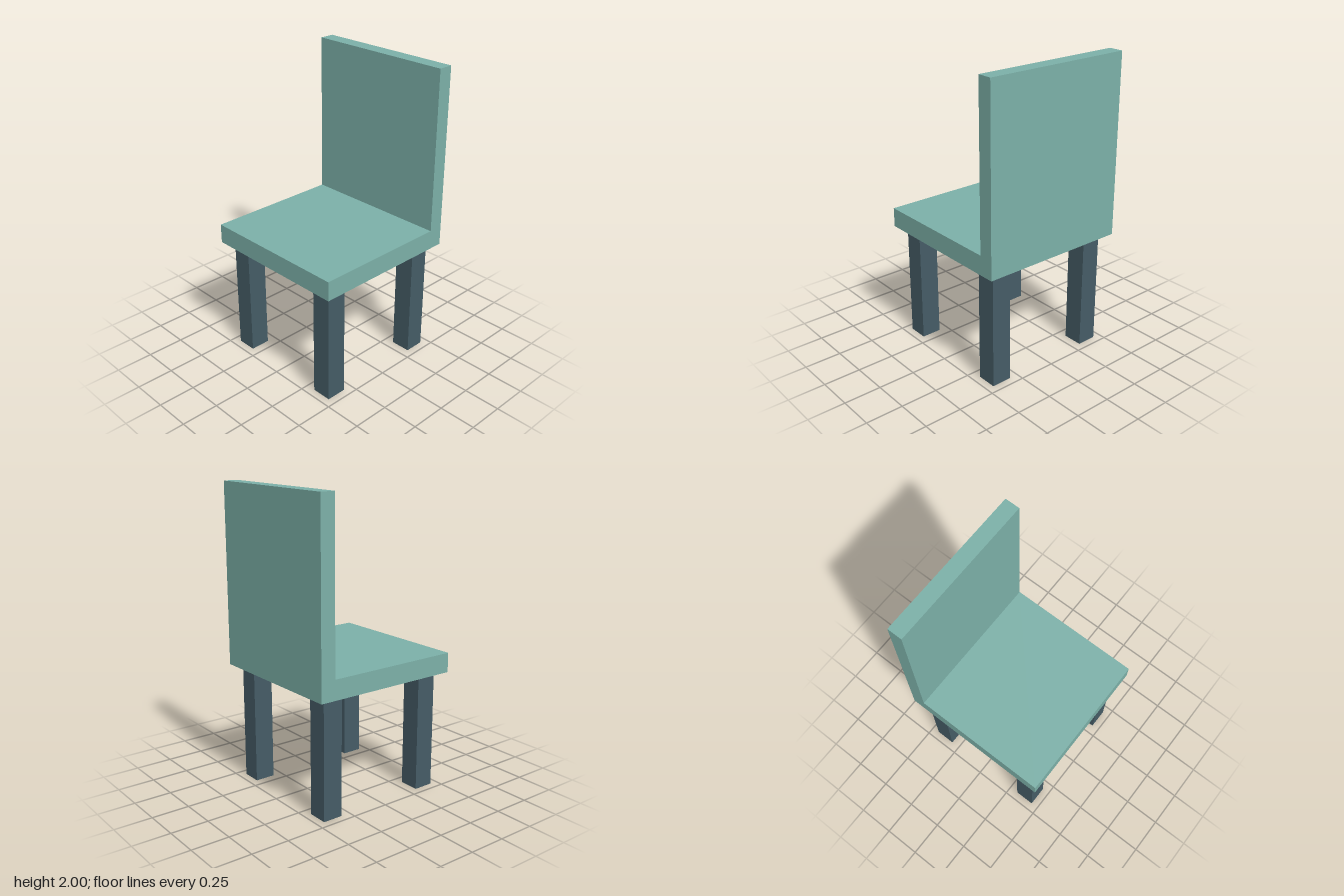
import * as THREE from 'three';

const HALF = 0.51;        // half width and half depth of the seat
const SEAT_BOTTOM = 0.79;
const SEAT_TOP = 0.92;
const BACK_FRONT = -0.41; // z of the backrest's front face
const LEG = 0.135;        // leg thickness
const LEG_POS = 0.38;     // leg centre from the middle

export function createModel() {
  const chair = new THREE.Group();
  chair.name = 'chair';
  const seatMaterial = new THREE.MeshStandardMaterial({ color: 0x7cb0a8 });
  const legMaterial = new THREE.MeshStandardMaterial({ color: 0x455c66 });

  // Seat and backrest: one L-shaped side profile (shape x = -z), extruded across the width
  const profile = new THREE.Shape([
    [-HALF, SEAT_BOTTOM], [HALF, SEAT_BOTTOM], [HALF, 2],
    [-BACK_FRONT, 2], [-BACK_FRONT, SEAT_TOP], [-HALF, SEAT_TOP],
  ].map(([x, y]) => new THREE.Vector2(x, y)));
  const seatGeometry = new THREE.ExtrudeGeometry(profile, { depth: 2 * HALF, bevelEnabled: false });
  seatGeometry.translate(0, 0, -HALF).rotateY(Math.PI / 2);
  const seat = new THREE.Mesh(seatGeometry, seatMaterial);
  seat.name = 'seatAndBackrest';
  chair.add(seat);

  // Four square legs
  const legGeometry = new THREE.BoxGeometry(LEG, SEAT_BOTTOM, LEG);
  for (const [endName, sz] of [['front', 1], ['back', -1]]) {
    for (const [sideName, sx] of [['Left', 1], ['Right', -1]]) {
      const leg = new THREE.Mesh(legGeometry, legMaterial);
      leg.name = `${endName}${sideName}Leg`;
      leg.position.set(sx * LEG_POS, SEAT_BOTTOM / 2, sz * LEG_POS);
      chair.add(leg);
    }
  }
  return chair;
}
